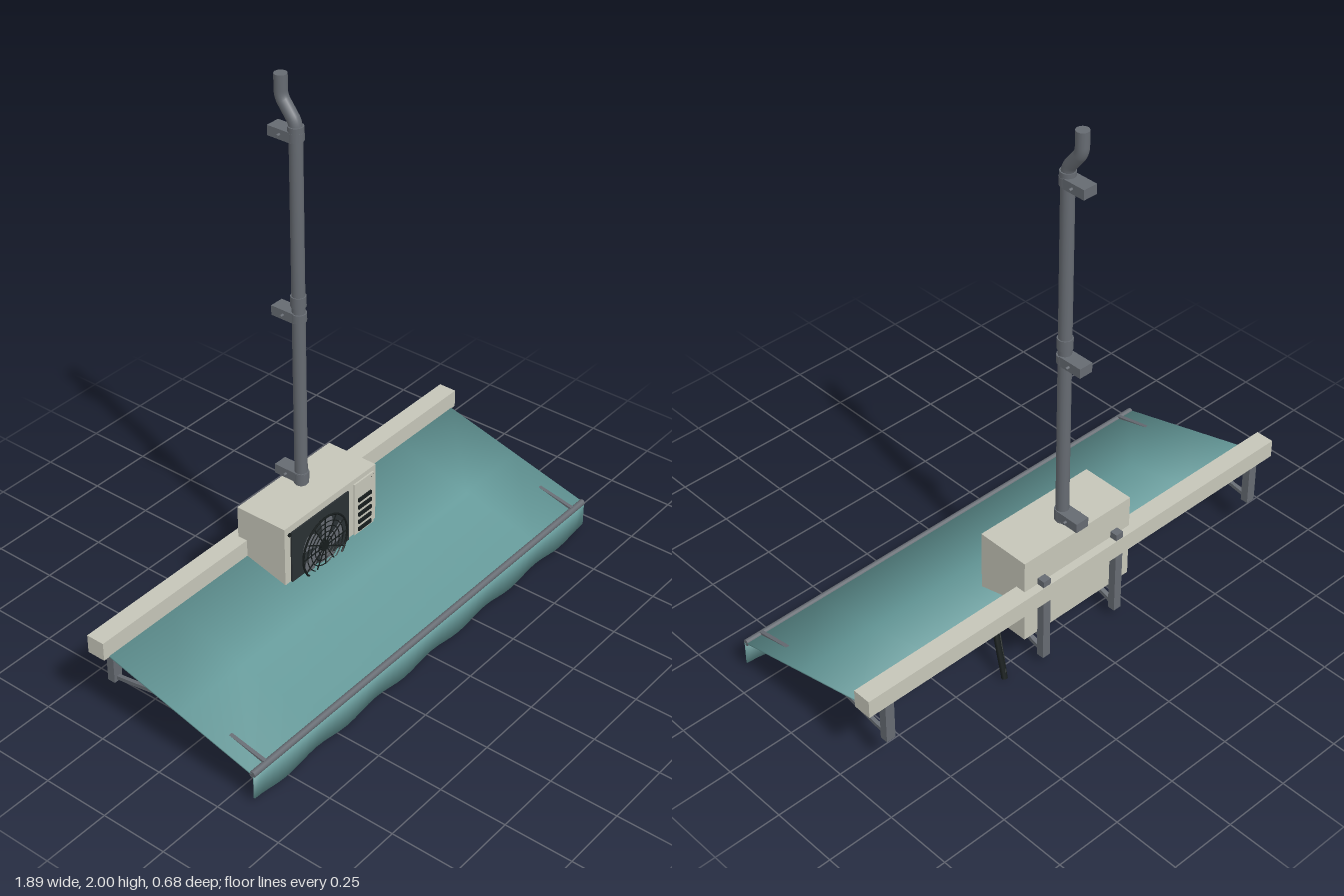
import * as THREE from 'three';

const mat = (name, color) => {
  const m = new THREE.MeshStandardMaterial({ color });
  m.name = name;
  return m;
};

export function createModel() {
  const cream = mat('cream casing', 0xc6c6b9);
  const teal = mat('teal fabric', 0x669b9b);
  const steel = mat('grey metal', 0x666b72);
  const dark = mat('dark grille', 0x2a3033);
  const black = mat('black rubber', 0x161c1c);

  const root = new THREE.Group();
  const add = (name, geo, material, x = 0, y = 0, z = 0, parent = root) => {
    const m = new THREE.Mesh(geo, material);
    m.name = name;
    m.position.set(x, y, z);
    parent.add(m);
    return m;
  };
  // Box given by its limits on each axis
  const box = (name, material, [x0, x1], [y0, y1], [z0, z1], parent = root) =>
    add(name, new THREE.BoxGeometry(x1 - x0, y1 - y0, z1 - z0), material,
      (x0 + x1) / 2, (y0 + y1) / 2, (z0 + z1) / 2, parent);
  // Square bar between two points [y, z] at a given x
  const bar = (name, x, a, b, w, h, parent = root) => {
    const p = new THREE.Vector3(x, ...a), q = new THREE.Vector3(x, ...b);
    const m = add(name, new THREE.BoxGeometry(w, h, p.distanceTo(q)), steel,
      x, (a[0] + b[0]) / 2, (a[1] + b[1]) / 2, parent);
    m.lookAt(q);
    return m;
  };
  // Thin cloth slab whose normals swell outward at its edges
  const cloth = (w, h, d, sx, sy, sz) => {
    const g = new THREE.BoxGeometry(w, h, d, sx, sy, sz);
    const p = g.attributes.position, half = [w / 2, h / 2, d / 2];
    const n = new THREE.Vector3();
    for (let i = 0; i < p.count; i++) {
      const c = [p.getX(i), p.getY(i), p.getZ(i)];
      n.set(...c.map((v, k) => (Math.abs(v) > half[k] - 1e-4 ? Math.sign(v) : 0))).normalize();
      g.attributes.normal.setXYZ(i, n.x, n.y, n.z);
    }
    return g;
  };

  // Awning: cassette, sloping fabric, scalloped valance and front bar
  box('awningCassette', cream, [-0.945, 0.942], [0.286, 0.355], [-0.343, -0.273]);
  add('awningFabric', cloth(1.84, 0.006, 0.621, 6, 1, 2), teal, 0, 0.207, 0.025).rotation.x = 0.2606;
  const valance = cloth(1.84, 0.1, 0.005, 48, 1, 1);
  const vp = valance.attributes.position;
  for (let i = 0; i < vp.count; i++) {
    if (vp.getY(i) < 0) {
      const wave = Math.cos(((vp.getX(i) + 0.92) / 0.3067) * Math.PI * 2);
      vp.setY(i, -0.05 + 0.009 * wave);
    }
  }
  add('awningValance', valance, teal, 0, 0.072, 0.334);
  add('frontBar', new THREE.CylinderGeometry(0.012, 0.012, 1.84, 12), steel, 0, 0.126, 0.328).rotation.z = Math.PI / 2;

  // Folding arms and their wall posts
  for (const s of [-1, 1]) {
    const x = s * 0.855;
    bar('awningArmFront', x, [0.198, -0.01], [0.13, 0.325], 0.014, 0.018);
    bar('awningArmBack', x, [0.284, -0.3], [0.2, 0.0], 0.012, 0.014);
    bar('awningStrut', x, [0.14, -0.31], [0.192, 0.0], 0.014, 0.014);
    box('awningPost', steel, [x - 0.018, x + 0.018], [0.125, 0.29], [-0.338, -0.308]);
  }

  // Outdoor cooling unit
  const unit = new THREE.Group();
  unit.name = 'coolingUnit';
  root.add(unit);
  box('unitCasing', cream, [-0.245, 0.245], [0.142, 0.477], [-0.312, -0.104], unit);
  box('fanPanel', dark, [-0.215, 0.09], [0.165, 0.45], [-0.104, -0.098], unit);
  box('servicePanel', cream, [0.122, 0.228], [0.16, 0.458], [-0.104, -0.098], unit);
  for (let i = 0; i < 7; i++) {
    const y = 0.384 - i * 0.031;
    box('ventSlot', black, [0.14, 0.21], [y - 0.007, y + 0.007], [-0.098, -0.092], unit);
  }
  for (const [x, y] of [[-0.222, 0.445], [0.22, 0.445]])
    add('panelScrew', new THREE.CylinderGeometry(0.007, 0.007, 0.006, 8), black, x, y, -0.101, unit).rotation.x = Math.PI / 2;

  // Fan with blades behind a ring and spoke guard
  const fan = new THREE.Group();
  fan.name = 'fan';
  fan.position.set(-0.06, 0.315, -0.08);
  unit.add(fan);
  const blade = new THREE.Shape();
  blade.moveTo(0.015, -0.012);
  blade.quadraticCurveTo(0.07, -0.05, 0.105, -0.015);
  blade.quadraticCurveTo(0.11, 0.02, 0.095, 0.045);
  blade.quadraticCurveTo(0.06, 0.012, 0.015, 0.012);
  const bladeGeo = new THREE.ExtrudeGeometry(blade, { depth: 0.003, bevelEnabled: false, curveSegments: 6 });
  for (let i = 0; i < 5; i++)
    add('fanBlade', bladeGeo, steel, 0, 0, -0.014, fan).rotation.z = (i * Math.PI * 2) / 5;
  for (const r of [0.035, 0.055, 0.075, 0.095, 0.118])
    add('guardRing', new THREE.TorusGeometry(r, r > 0.1 ? 0.004 : 0.002, 5, 32), black, 0, 0, 0, fan);
  for (let i = 0; i < 12; i++) {
    const a = (i * Math.PI) / 6;
    add('guardSpoke', new THREE.BoxGeometry(0.1, 0.0035, 0.0035), black,
      Math.cos(a) * 0.067, Math.sin(a) * 0.067, 0, fan).rotation.z = a;
  }
  add('fanHub', new THREE.CylinderGeometry(0.02, 0.02, 0.018, 16), black, 0, 0, -0.008, fan).rotation.x = Math.PI / 2;

  // Wall brackets carrying the unit
  for (const x of [-0.17, 0.17]) {
    box('bracketPost', steel, [x - 0.016, x + 0.016], [0.038, 0.38], [-0.341, -0.312]);
    box('bracketArm', steel, [x - 0.014, x + 0.014], [0.122, 0.142], [-0.33, -0.07]);
    bar('bracketBrace', x, [0.055, -0.325], [0.126, -0.1], 0.016, 0.016);
  }

  // Drain hoses on the unit's side
  const hose = (name, r, pts) => add(name, new THREE.TubeGeometry(
    new THREE.CatmullRomCurve3(pts.map((p) => new THREE.Vector3(...p))), 20, r, 8), black);
  hose('drainHose', 0.011, [[0.24, 0.2, -0.2], [0.275, 0.232, -0.206], [0.3, 0.18, -0.23], [0.325, 0.008, -0.3]]);
  hose('drainPipe', 0.008, [[0.24, 0.2, -0.185], [0.265, 0.195, -0.19], [0.285, 0.13, -0.23], [0.32, 0.03, -0.295]]);

  // Tall pipe with a set-back top
  const zPipe = -0.235;
  add('pipe', new THREE.CylinderGeometry(0.023, 0.023, 1.355, 16), steel, 0, 1.1525, zPipe);
  const bend = new THREE.CurvePath();
  const v = (y, z) => new THREE.Vector3(0, y, z);
  bend.add(new THREE.LineCurve3(v(1.8, zPipe), v(1.825, zPipe)));
  bend.add(new THREE.QuadraticBezierCurve3(v(1.825, zPipe), v(1.845, zPipe), v(1.86, -0.245)));
  bend.add(new THREE.LineCurve3(v(1.86, -0.245), v(1.91, -0.283)));
  bend.add(new THREE.QuadraticBezierCurve3(v(1.91, -0.283), v(1.925, -0.293), v(1.945, -0.293)));
  bend.add(new THREE.LineCurve3(v(1.945, -0.293), v(2, -0.293)));
  add('pipeBend', new THREE.TubeGeometry(bend, 28, 0.0225, 16), steel);
  add('pipeCap', new THREE.CylinderGeometry(0.0225, 0.0225, 0.004, 16), steel, 0, 1.998, -0.293);
  for (const [y, h] of [[0.505, 0.045], [1.205, 0.04], [1.82, 0.035]])
    add('pipeCollar', new THREE.CylinderGeometry(0.027, 0.027, h, 16), steel, 0, y, zPipe);

  // Wall clamps with side bolts
  for (const y of [0.51, 1.146, 1.803]) {
    box('pipeClamp', steel, [-0.027, 0.027], [y - 0.018, y + 0.018], [-0.33, -0.235]);
    add('clampRing', new THREE.CylinderGeometry(0.028, 0.028, 0.03, 16), steel, 0, y, zPipe);
    add('clampBolt', new THREE.CylinderGeometry(0.005, 0.005, 0.08, 8), steel, 0, y, -0.28).rotation.z = Math.PI / 2;
  }
  return root;
}
